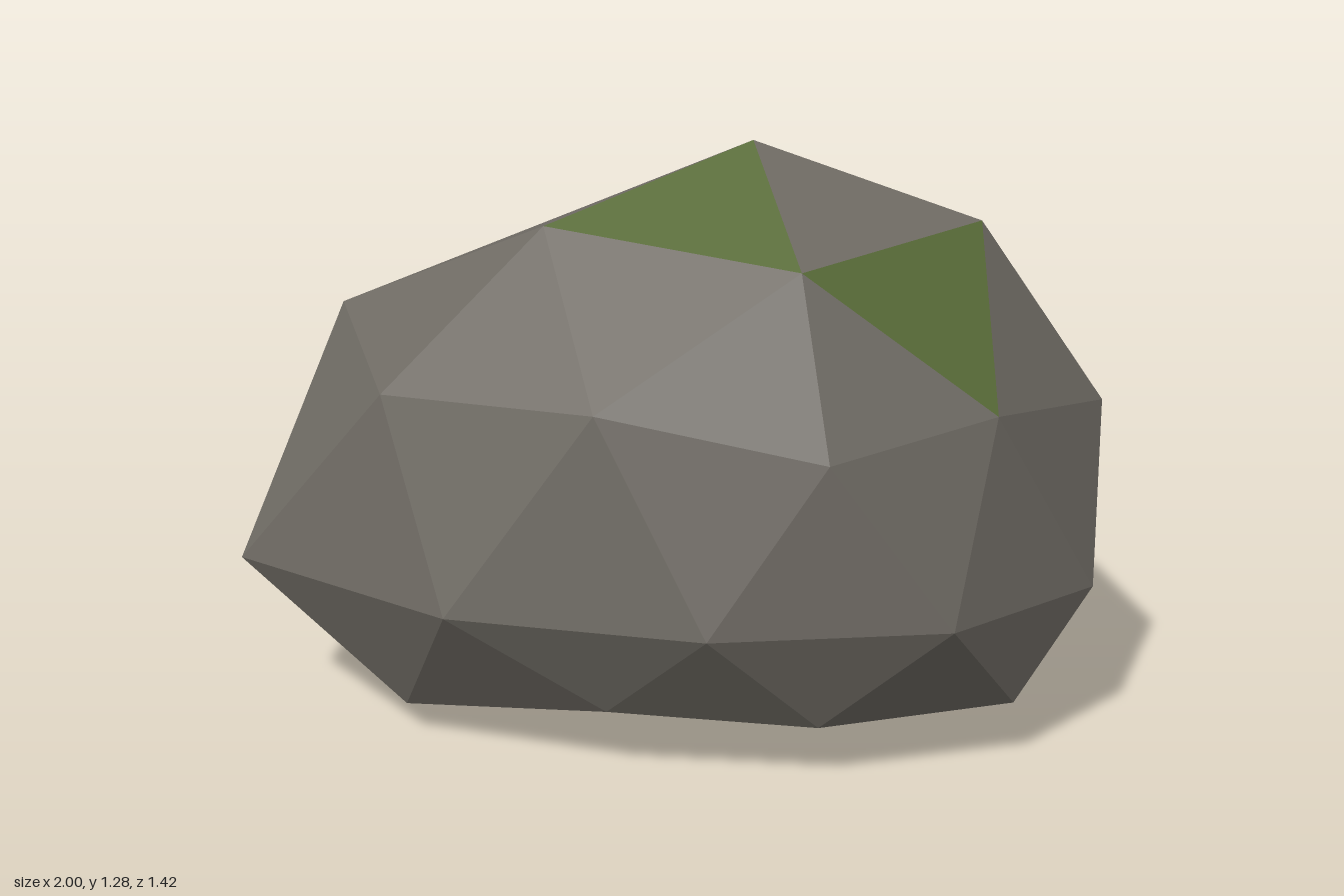
import * as THREE from 'three';

// Rings of the boulder, each walking from +x towards +z
const top = [0.19, 1.28, 0.02];
const crown = [[0.70, 1.11, 0.02], [0.335, 1.04, 0.395], [-0.235, 1.11, 0.27], [-0.235, 1.10, -0.24], [0.355, 1.155, -0.41]];
const shoulder = [
  [0.98, 0.715, 0.02], [0.745, 0.745, 0.36], [0.415, 0.69, 0.61], [-0.055, 0.78, 0.635], [-0.55, 0.77, 0.465],
  [-0.78, 0.89, 0.02], [-0.615, 0.81, -0.475], [-0.065, 0.825, -0.645], [0.43, 0.725, -0.63], [0.84, 0.81, -0.38],
];
const girth = [
  [0.965, 0.23], [0.67, 0.575], [0.185, 0.71], [-0.37, 0.655], [-0.94, 0.325],
  [-1.0, -0.30], [-0.43, -0.685], [0.185, -0.715], [0.70, -0.575], [1.0, -0.20],
].map(([x, z]) => [x, 0.345, z]);
const foot = [
  [0.87, 0.125, 0.02], [0.80, 0.132, 0.395], [0.40, 0.123, 0.575], [-0.04, 0.14, 0.60], [-0.52, 0.067, 0.45],
  [-0.85, 0.06, 0.02], [-0.57, 0.062, -0.44], [-0.05, 0.125, -0.605], [0.38, 0.14, -0.56], [0.75, 0.143, -0.33],
];
const sole = [[0.54, 0.06, 0.26], [0.03, 0.045, 0.34], [-0.28, 0.035, 0.02], [0.03, 0.025, -0.34], [0.54, 0.055, -0.25]];
const bottom = [0.19, 0, 0.02];

const at = (ring, i) => ring[(i + ring.length) % ring.length];

// Flat-faced mesh; every triangle is turned to face away from the core
function facetMesh(name, triangles, material) {
  const core = new THREE.Vector3(0.1, 0.45, 0);
  const points = [];
  for (const corners of triangles) {
    const t = new THREE.Triangle(...corners.map((p) => new THREE.Vector3(...p)));
    const outward = t.getNormal(new THREE.Vector3()).dot(t.a.clone().sub(core)) > 0;
    points.push(...(outward ? [t.a, t.b, t.c] : [t.a, t.c, t.b]));
  }
  const geometry = new THREE.BufferGeometry().setFromPoints(points);
  geometry.computeVertexNormals();
  const mesh = new THREE.Mesh(geometry, material);
  mesh.name = name;
  return mesh;
}

export function createModel() {
  const stone = new THREE.MeshStandardMaterial({ color: 0x6e6a63 });
  stone.name = 'stone grey';
  const moss = new THREE.MeshStandardMaterial({ color: 0x586b38 });
  moss.name = 'moss green';

  const stoneFaces = [];
  const mossFaces = [];

  // Five-sided cap: pole, inner ring of 5, outer ring of 10
  function cap(pole, inner, outer, offset, mossyTips = [], mossyGaps = []) {
    for (let i = 0; i < 5; i++) {
      const a = inner[i], b = at(inner, i + 1), k = 2 * i + offset;
      const corner = at(outer, k), next = at(outer, k + 1), prev = at(outer, k - 1);
      (mossyTips.includes(i) ? mossFaces : stoneFaces).push([pole, a, b]);
      (mossyGaps.includes(i) ? mossFaces : stoneFaces).push([a, b, next]);
      stoneFaces.push([a, corner, next], [a, corner, prev]);
    }
  }

  // Zigzag band between the girth and a neighbouring ring of 10
  function band(ring) {
    for (let k = 0; k < 10; k++) {
      stoneFaces.push([ring[k], girth[k], at(ring, k + 1)], [ring[k], at(girth, k - 1), girth[k]]);
    }
  }

  cap(top, crown, shoulder, 0, [1, 3, 4], [0, 3]);
  band(shoulder);
  band(foot);
  cap(bottom, sole, foot, 1);

  const boulder = new THREE.Group();
  boulder.name = 'boulder';
  boulder.add(facetMesh('stone', stoneFaces, stone), facetMesh('mossPatches', mossFaces, moss));
  return boulder;
}
